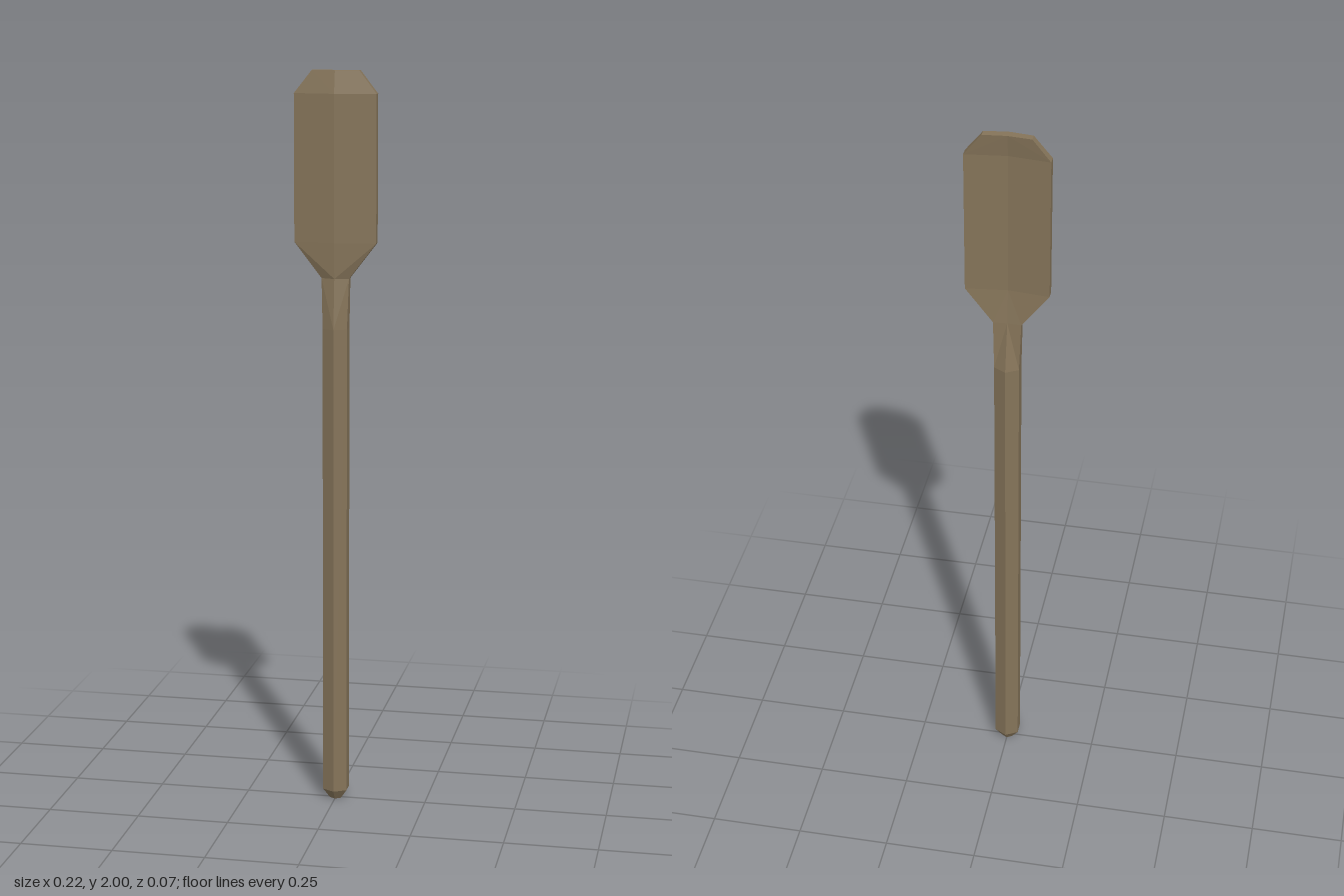
import * as THREE from 'three';

// Each section: [y, half width, side front z, side back z, centre front z, centre back z]
const handleSections = [
  [0, 0.015, 0.009, -0.009, 0.018, -0.018],
  [0.027, 0.033, 0.018, -0.018, 0.037, -0.037],
  [1.32, 0.033, 0.018, -0.018, 0.037, -0.037],
  [1.455, 0.037, 0.011, -0.01, 0.024, -0.008],
];
const bladeSections = [
  [1.455, 0.037, 0.011, -0.01, 0.024, -0.008],
  [1.55, 0.11, 0.013, -0.01, 0.027, 0.002],
  [1.94, 0.11, 0.013, -0.01, 0.027, 0.002],
  [2, 0.063, 0.008, -0.012, 0.016, -0.006],
];

// Lofts six-sided sections, closing the bottom and/or top
function loft(sections, capBottom, capTop) {
  const pos = [], index = [];
  for (const [y, w, sf, sb, f, b] of sections) {
    pos.push(0, y, f, w, y, sf, w, y, sb, 0, y, b, -w, y, sb, -w, y, sf);
  }
  for (let s = 0; s < sections.length - 1; s++) {
    for (let i = 0; i < 6; i++) {
      const a = s * 6 + i, b = s * 6 + (i + 1) % 6, c = b + 6, d = a + 6;
      // mirror the diagonal between the two halves
      if (i < 3) index.push(a, b, c, a, c, d);
      else index.push(a, b, d, b, c, d);
    }
  }
  // Fan from the back centre so the hollow back stays open
  const top = (sections.length - 1) * 6;
  for (let k = 1; k < 5; k++) {
    const p = (3 + k) % 6, q = (4 + k) % 6;
    if (capBottom) index.push(3, q, p);
    if (capTop) index.push(top + 3, top + p, top + q);
  }
  const indexed = new THREE.BufferGeometry();
  indexed.setAttribute('position', new THREE.Float32BufferAttribute(pos, 3));
  indexed.setIndex(index);
  const geometry = indexed.toNonIndexed();
  geometry.computeVertexNormals();
  return geometry;
}

export function createModel() {
  const wood = new THREE.MeshStandardMaterial({ color: 0x857459 });
  wood.name = 'brown wood';
  const group = new THREE.Group();
  group.name = 'paddle';

  // Faceted shaft that flattens into the neck
  const shaft = new THREE.Mesh(loft(handleSections, true, false), wood);
  shaft.name = 'shaft';

  // Ridged blade with clipped corners and a hollow back
  const blade = new THREE.Mesh(loft(bladeSections, false, true), wood);
  blade.name = 'blade';

  group.add(shaft, blade);
  return group;
}
